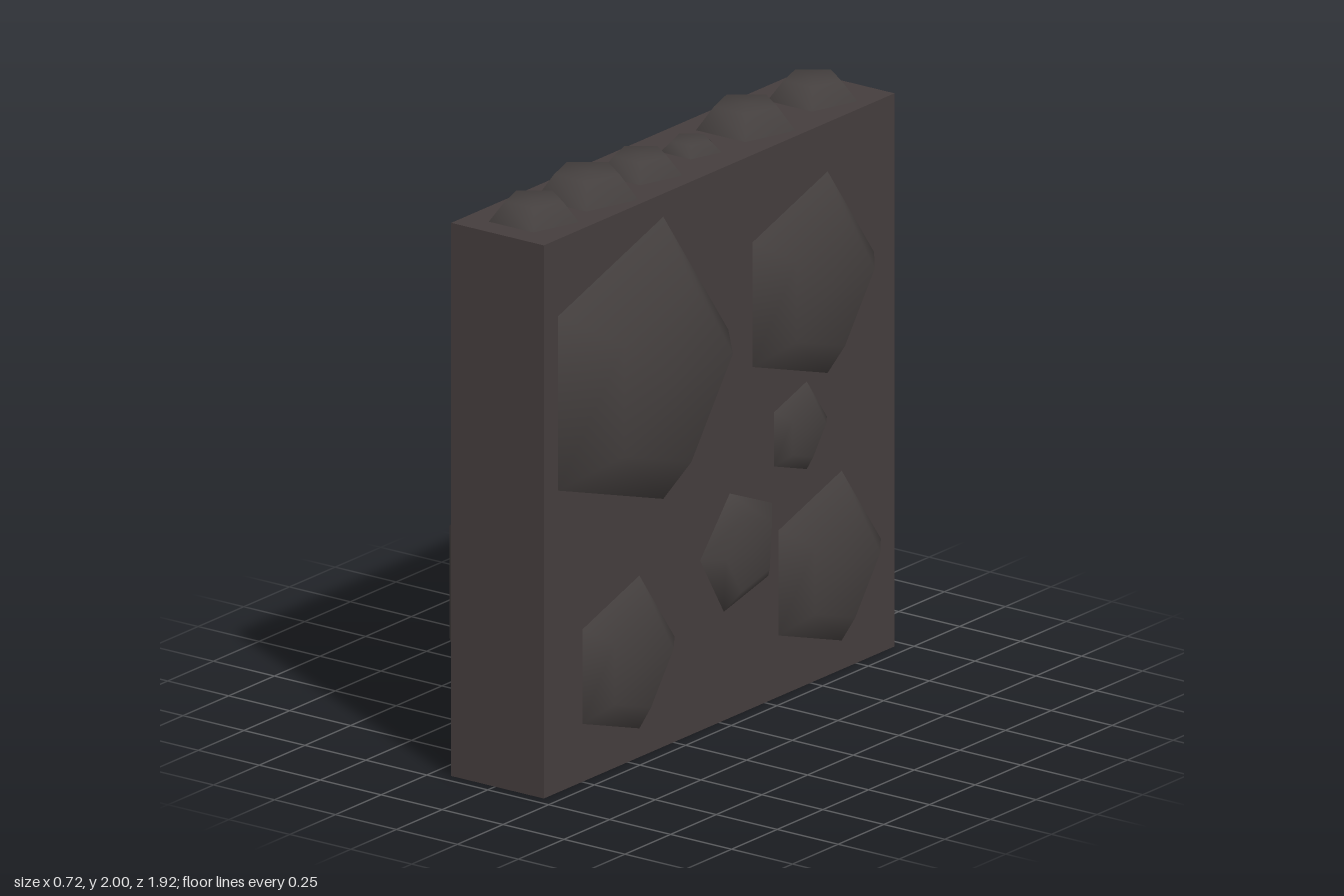
import * as THREE from 'three';

const slabMaterial = new THREE.MeshStandardMaterial({ color: 0x453d3d, side: THREE.DoubleSide });
slabMaterial.name = 'dark wall';
const stoneMaterial = new THREE.MeshStandardMaterial({ color: 0x45403f });
stoneMaterial.name = 'dark stone';

const INSET = 0.02; // how far each stone sinks through the wall
const WALL_TOP = 1.92;

// Smooth five-sided stone; local y = 0 lies on the wall surface
function makeStone(name, radius, height, turn = Math.PI) {
  const profile = [
    [0, -INSET], [radius, -INSET], [radius, 0], [radius * 0.64, height], [0, height],
  ].map(([r, y]) => new THREE.Vector2(r, y));
  const mesh = new THREE.Mesh(new THREE.LatheGeometry(profile, 5, turn), stoneMaterial);
  mesh.name = name;
  return mesh;
}

export function createModel() {
  const model = new THREE.Group();
  model.name = 'stoneWall';

  // Hollow slab, open underneath
  const box = new THREE.BoxGeometry(0.38, WALL_TOP, 1.92);
  const index = Array.from(box.index.array);
  index.splice(18, 6);
  box.setIndex(index);
  box.clearGroups();
  const slab = new THREE.Mesh(box, slabMaterial);
  slab.name = 'wallSlab';
  slab.position.set(0.01, WALL_TOP / 2, 0);
  model.add(slab);

  // Side stones: z, y, radius, outermost x, turn
  const sideStones = [
    [0.465, 1.35, 0.515, 0.358],
    [-0.48, 1.4, 0.368, 0.302],
    [-0.575, 0.395, 0.31, 0.282],
    [0.523, 0.365, 0.279, 0.271],
    [-0.43, 0.9, 0.16, 0.24],
    [-0.107, 0.573, 0.212, 0.25, -0.08],
  ];
  // The right face repeats the left one, turned upside down
  for (const [name, side, wall] of [['left', 1, 0.2], ['right', -1, 0.18]]) {
    const face = new THREE.Group();
    face.name = name + 'FaceStones';
    face.position.y = 0.9625;
    face.rotation.z = side > 0 ? 0 : Math.PI;
    for (const [z, y, radius, reach, turn] of sideStones) {
      const stone = makeStone(name + 'Stone', radius, reach - wall, turn);
      stone.rotation.z = -Math.PI / 2;
      stone.position.set(wall, y - 0.9625, z);
      face.add(stone);
    }
    model.add(face);
  }

  // Row of stones along the top: z, radius, height
  const topStones = [
    [-0.775, 0.156, 0.065], [-0.41, 0.172, 0.076], [-0.11, 0.106, 0.034],
    [0.167, 0.146, 0.06], [0.46, 0.178, 0.08], [0.75, 0.156, 0.065],
  ];
  const top = new THREE.Group();
  top.name = 'topStones';
  for (const [z, radius, height] of topStones) {
    const stone = makeStone('topStone', radius, height);
    stone.position.set(0.003, WALL_TOP, z);
    top.add(stone);
  }
  model.add(top);

  return model;
}
